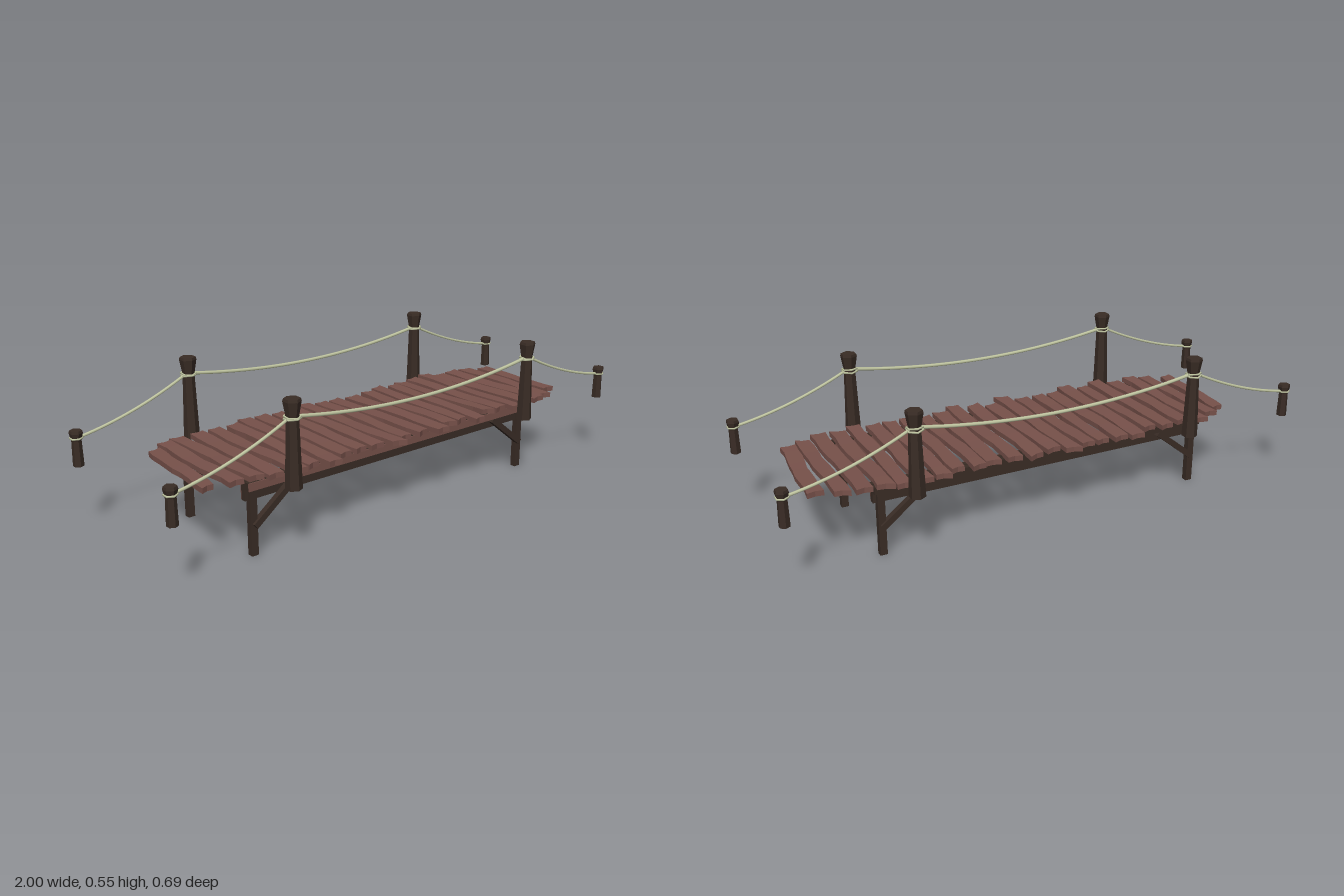
import * as THREE from 'three';

const mat = (name, color) => {
  const m = new THREE.MeshStandardMaterial({ color });
  m.name = name;
  return m;
};

// Faceted normals
function flat(geo) {
  const g = geo.index ? geo.toNonIndexed() : geo;
  g.computeVertexNormals();
  return g;
}

export function createModel() {
  const plankWood = mat('plankWood', 0x77514a);
  const darkWood = mat('darkWood', 0x392c25);
  const ropeFibre = mat('ropeFibre', 0xc2c7a2);
  const root = new THREE.Group();
  root.name = 'footbridge';

  const add = (name, geo, material, x = 0, y = 0, z = 0) => {
    const mesh = new THREE.Mesh(geo, material);
    mesh.name = name;
    mesh.position.set(x, y, z);
    root.add(mesh);
    return mesh;
  };
  const box = (w, h, d) => new THREE.BoxGeometry(w, h, d);

  let seed = 7;
  const rand = () => (seed = (seed * 16807) % 2147483647) / 2147483647;
  const spread = (a) => (rand() * 2 - 1) * a;

  // Deck planks: [centre x, back end z, front end z]
  const planks = [
    [-0.77, -0.2, 0.19], [-0.695, -0.24, 0.215], [-0.627, -0.265, 0.23], [-0.556, -0.255, 0.235],
    [-0.48, -0.26, 0.265], [-0.406, -0.25, 0.24], [-0.337, -0.285, 0.275], [-0.267, -0.275, 0.235],
    [-0.198, -0.265, 0.235], [-0.128, -0.275, 0.24], [-0.062, -0.285, 0.275], [0.005, -0.255, 0.235],
    [0.075, -0.265, 0.25], [0.153, -0.25, 0.275], [0.224, -0.25, 0.24], [0.289, -0.265, 0.235],
    [0.358, -0.25, 0.265], [0.424, -0.265, 0.235], [0.49, -0.275, 0.24], [0.56, -0.28, 0.27],
    [0.626, -0.25, 0.235], [0.695, -0.25, 0.25], [0.765, -0.235, 0.225], [0.835, -0.2, 0.19],
  ];
  planks.forEach(([x, z0, z1], i) => {
    const len = z1 - z0;
    const geo = new THREE.BoxGeometry(0.052 + spread(0.004), 0.019, len, 2, 1, 8);
    const p = geo.attributes.position;
    const phase = rand() * 6.28, phase2 = rand() * 6.28, jag = spread(0.01);
    const lift = spread(0.004);
    for (let k = 0; k < p.count; k++) {
      const px = p.getX(k), z = p.getZ(k), t = z / len;
      const side = Math.sign(px);
      const wave = 0.003 * Math.sin(t * 8 + phase) + side * 0.002 * Math.sin(t * 17 + phase2);
      p.setX(k, px + wave);
      p.setY(k, p.getY(k) + lift * -t * 2 + 0.0015 * Math.sin(t * 7 + phase2));
      // Ragged ends
      if (Math.abs(t) > 0.49) p.setZ(k, z + side * jag + (side === 0 ? -0.006 * Math.sign(z) : 0));
    }
    const m = add('plank', flat(geo), plankWood, x, 0.2725, (z0 + z1) / 2);
    m.rotation.y = i === 0 || i === 23 ? -0.06 : spread(0.02);
    m.rotation.z = spread(0.05);
  });

  for (const s of [-1, 1]) {
    // Long beams under the deck, with a reddish board on the inner face
    add('deepBeam', box(1.31, 0.07, 0.02), darkWood, 0, 0.23, s * 0.19);
    add('innerBoard', box(1.31, 0.068, 0.004), plankWood, 0, 0.2305, s * 0.1785);
    add('sideRail', box(1.31, 0.028, 0.022), darkWood, 0, 0.249, s * 0.211);

    for (const e of [-1, 1]) {
      // Legs and diagonal braces
      add('leg', box(0.026, 0.25, 0.023), darkWood, e * 0.63, 0.125, s * 0.2005);
      const dx = -0.16, dy = 0.125;
      const brace = add('brace', box(Math.hypot(dx, dy), 0.022, 0.021), darkWood,
        e * 0.55, 0.168, s * 0.211);
      brace.rotation.z = Math.atan2(dy, dx * e);
    }
  }
  // Reddish board on the front rail
  add('outerBoard', box(1.31, 0.028, 0.004), plankWood, 0, 0.249, 0.2235);

  // Hexagonal posts
  const post = (profile) => flat(new THREE.LatheGeometry(
    profile.map(([r, y]) => new THREE.Vector2(r, y)), 6));
  const tallPost = post([[0, 0.245], [0.029, 0.245], [0.0255, 0.345], [0.021, 0.485],
    [0.0305, 0.538], [0.028, 0.547], [0, 0.547]]);
  const shortPost = post([[0, 0.245], [0.019, 0.245], [0.017, 0.335], [0.0235, 0.362],
    [0.021, 0.371], [0, 0.371]]);

  // Rope hanging between two points on one side
  const rope = (name, x0, y0, x1, y1, sag, z, radius) => {
    const pts = [];
    for (let i = 0; i <= 12; i++) {
      const t = i / 12;
      pts.push(new THREE.Vector3(x0 + (x1 - x0) * t, y0 + (y1 - y0) * t - sag * 4 * t * (1 - t), z));
    }
    add(name, new THREE.TubeGeometry(new THREE.CatmullRomCurve3(pts), 24, radius, 6), ropeFibre);
  };
  // Six-sided rope turns that follow the post faces
  const coil = (x, y, z, r, tilt) => {
    const geo = new THREE.TorusGeometry(r, 0.0035, 6, 6).rotateZ(Math.PI / 2);
    add('ropeCoil', geo, ropeFibre, x, y, z).rotation.x = Math.PI / 2 + tilt;
  };

  for (const z of [0.311, -0.313]) {
    for (const e of [-1, 1]) {
      add('tallPost', tallPost, darkWood, e * 0.541, 0, z);
      add('shortPost', shortPost, darkWood, e * 0.979, 0, z);
      coil(e * 0.541, 0.488, z, 0.027, 0.12);
      coil(e * 0.541, 0.481, z, 0.028, -0.08);
      coil(e * 0.979, 0.344, z, 0.0205, 0);
      rope('sideRope', e * 0.555, 0.484, e * 0.965, 0.345, 0.017, z, 0.0052);
    }
    rope('mainRope', -0.525, 0.485, 0.525, 0.485, 0.044, z, 0.0062);
  }
  return root;
}
